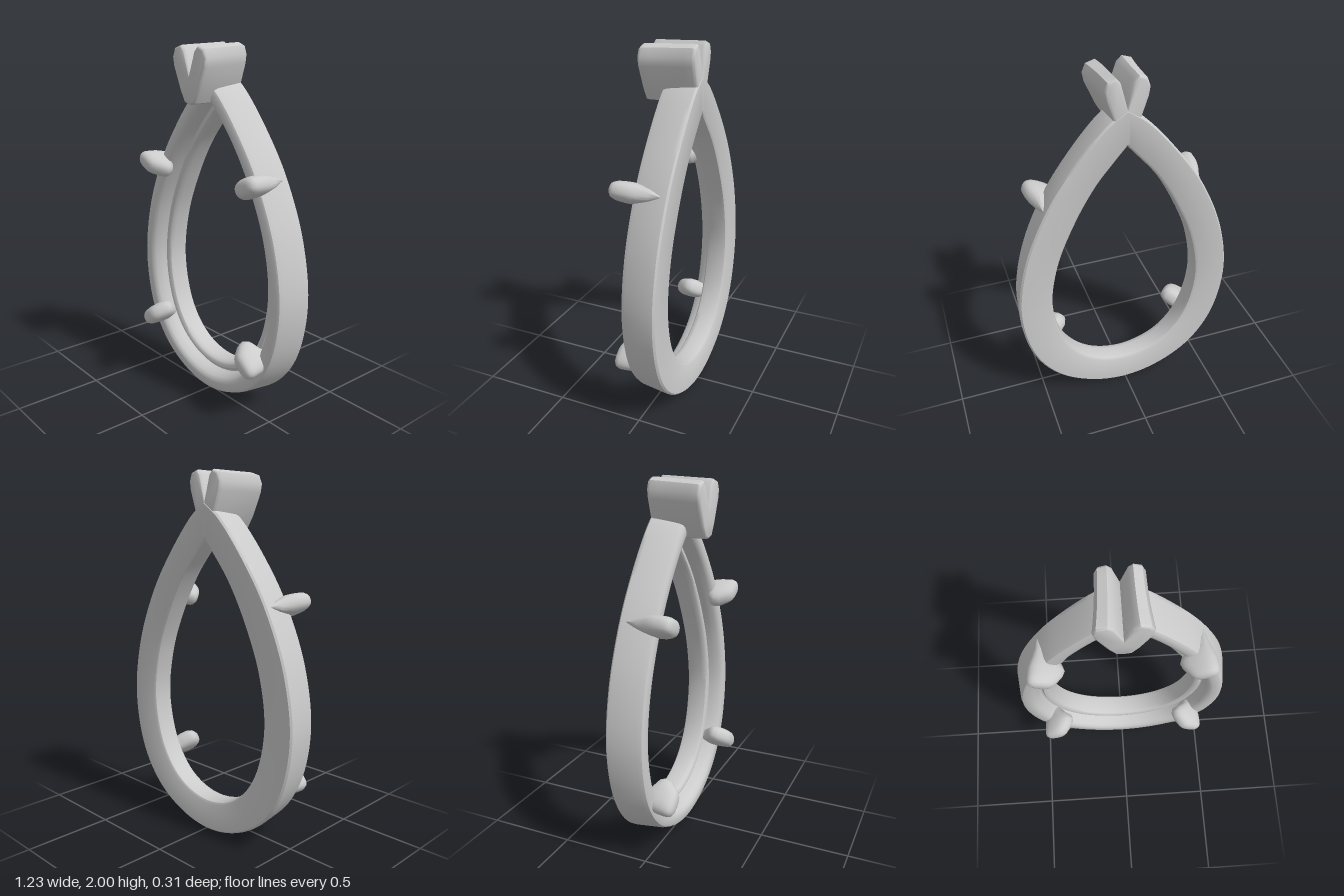
import * as THREE from 'three';
import { mergeVertices, toCreasedNormals } from 'three/addons/utils/BufferGeometryUtils.js';

const material = new THREE.MeshStandardMaterial({ color: 0xcccccc });

// Skin a list of closed cross-sections (each an array of Vector3)
function loft(rows, crease) {
  const n = rows[0].length, pos = [], index = [];
  rows.forEach(r => r.forEach(p => pos.push(p.x, p.y, p.z)));
  for (let i = 0; i < rows.length - 1; i++) {
    for (let j = 0; j < n; j++) {
      const k = (j + 1) % n;
      const a = i * n + j, b = i * n + k, c = a + n, d = b + n;
      index.push(a, b, d, a, d, c);
    }
  }
  const g = new THREE.BufferGeometry();
  g.setAttribute('position', new THREE.Float32BufferAttribute(pos, 3));
  g.setIndex(index);
  return toCreasedNormals(g, crease);
}

// Symmetric teardrop curve from its right half (bottom to apex)
function teardrop(half) {
  const right = half.map(([x, y]) => new THREE.Vector3(x, y, 0));
  const left = right.slice(1).reverse().map(p => new THREE.Vector3(-p.x, p.y, 0));
  return new THREE.CatmullRomCurve3([...left, ...right], false, 'centripetal');
}

function makeFrame() {
  const outer = teardrop([[0, 0], [0.21, 0.04], [0.41, 0.16], [0.55, 0.36], [0.615, 0.68],
    [0.565, 1.02], [0.43, 1.34], [0.275, 1.57], [0.1, 1.77], [0, 1.84]]);
  const inner = teardrop([[0, 0.18], [0.15, 0.21], [0.27, 0.29], [0.37, 0.44], [0.425, 0.7],
    [0.385, 0.98], [0.28, 1.24], [0.165, 1.44], [0.06, 1.57], [0, 1.64]]);
  // Section: fraction from inner to outer edge, z (ledge, groove, rim, outer wall, back)
  const section = [[0, -0.06], [0.03, -0.035], [0.1, -0.025], [0.2, -0.025], [0.26, -0.04],
    [0.31, -0.04], [0.35, -0.01], [0.42, 0.025], [0.5, 0.04], [0.6, 0.045], [0.78, 0.045],
    [0.86, 0.038], [0.91, 0.015], [0.99, -0.125], [0.99, -0.145], [0.95, -0.155],
    [0.1, -0.155], [0.03, -0.147], [0, -0.125]];
  const rows = [], steps = 180;
  for (let i = 0; i <= steps; i++) {
    const a = inner.getPoint(i / steps), b = outer.getPoint(i / steps);
    rows.push(section.map(([t, z]) => {
      const p = a.clone().lerp(b, t === 0.99 ? 1 : t);
      p.z = z;
      return p;
    }));
  }
  return loft(rows, 0.7);
}

// Claw leaning out of the rim; (dx, dy) points away from the opening
function makeProng(cx, cy, dx, dy) {
  const d = new THREE.Vector2(dx, dy).normalize();
  // z, outward shift, half length, half thickness
  const levels = [[-0.11, 0.04, 0.005, 0.005], [-0.05, 0.035, 0.025, 0.03], [0, 0.02, 0.06, 0.045],
    [0.03, 0.002, 0.09, 0.053], [0.06, 0, 0.1, 0.055], [0.09, 0.008, 0.095, 0.054],
    [0.12, 0.022, 0.083, 0.05], [0.14, 0.028, 0.07, 0.042], [0.151, 0.03, 0.052, 0.03],
    [0.155, 0.03, 0.03, 0.016], [0.156, 0.03, 0, 0]];
  const rows = levels.map(([z, shift, ru, rv]) => {
    const row = [];
    for (let j = 0; j < 24; j++) {
      const a = j / 24 * Math.PI * 2;
      // slightly squared oval
      const round = s => Math.sign(s) * Math.pow(Math.abs(s), 0.8);
      const u = shift + ru * round(Math.cos(a)), v = rv * round(Math.sin(a));
      row.push(new THREE.Vector3(cx + d.x * u - d.y * v, cy + d.y * u + d.x * v, z));
    }
    return row;
  });
  return loft(rows, 1.2);
}

// V-shaped claw over the point of the teardrop
function makeTipClaw() {
  const half = [[0.03, 1.715], [0.06, 1.765], [0.115, 1.9], [0.122, 1.94],
    [0.108, 1.972], [0.075, 1.982], [0.056, 1.965]];
  const pts = [[0, 1.708], ...half, [0, 1.82],
    ...half.slice().reverse().map(([x, y]) => [-x, y])];
  const shape = new THREE.Shape(pts.map(([x, y]) => new THREE.Vector2(x, y)));
  const bevel = 0.018;
  const g = new THREE.ExtrudeGeometry(shape, {
    depth: 0.305 - 2 * bevel, steps: 6, bevelEnabled: true,
    bevelThickness: bevel, bevelSize: bevel, bevelSegments: 4
  });
  g.translate(0, 0, -0.153 + bevel);
  // Narrow towards the back, with the top dipping slightly at the front
  const p = g.attributes.position;
  for (let i = 0; i < p.count; i++) {
    const f = (p.getZ(i) + 0.153) / 0.305;
    p.setX(i, p.getX(i) * (0.82 + 0.18 * f * f));
    if (p.getY(i) > 1.85) p.setY(i, p.getY(i) - 0.012 * f);
  }
  g.deleteAttribute('uv');
  g.deleteAttribute('normal');
  return toCreasedNormals(mergeVertices(g, 1e-4), 0.75);
}

export function createModel() {
  const group = new THREE.Group();
  const add = (name, geometry) => {
    const mesh = new THREE.Mesh(geometry, material);
    mesh.name = name;
    group.add(mesh);
  };
  add('teardropFrame', makeFrame());
  add('tipClaw', makeTipClaw());
  for (const [side, s] of [['Left', 1], ['Right', -1]]) {
    add('upperProng' + side, makeProng(s * 0.395, 1.31, s * 0.87, 0.42));
    add('lowerProng' + side, makeProng(s * 0.405, 0.37, s * 0.78, -0.6));
  }
  return group;
}
